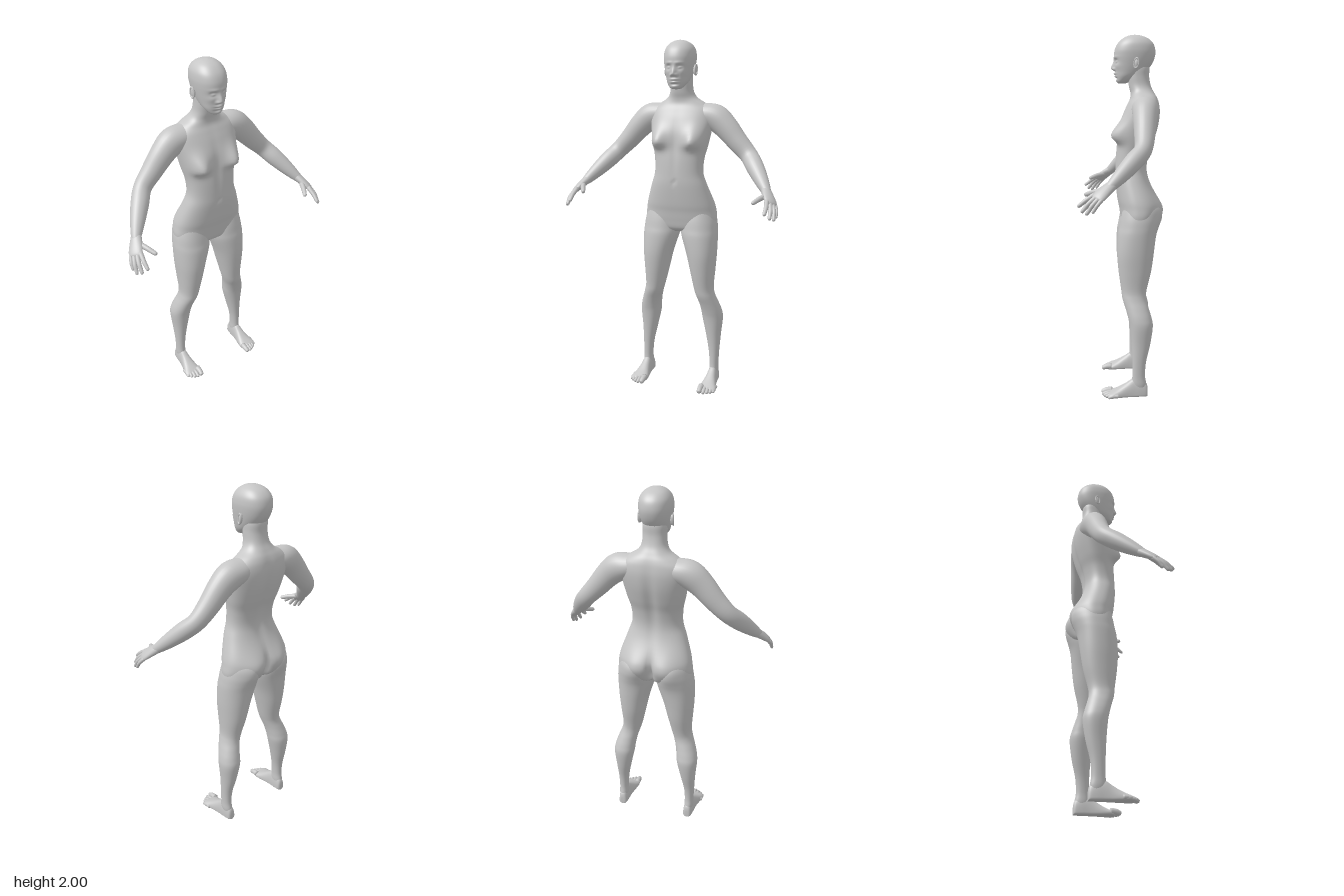
import * as THREE from 'three';

const clay = new THREE.MeshStandardMaterial({ color: 0xc6c6c6 });
clay.name = 'clay grey';

const gauss = (x, y, cx, cy, sx, sy) => Math.exp(-(((x - cx) / sx) ** 2) - ((y - cy) / sy) ** 2);

// Catmull-Rom interpolation of every column of a section table
function refine(rows, steps) {
  const out = [];
  const at = i => rows[Math.max(0, Math.min(rows.length - 1, i))];
  for (let i = 0; i < rows.length - 1; i++) {
    for (let k = 0; k < steps; k++) {
      const t = k / steps;
      out.push(rows[i].map((b, c) => {
        const a = at(i - 1)[c], d = at(i + 1)[c], e = at(i + 2)[c];
        return b + 0.5 * t * (d - a + t * (2 * a - 5 * b + 4 * d - e + t * (3 * (b - d) + e - a)));
      }));
    }
  }
  out.push(rows[rows.length - 1]);
  return out;
}

// Skin over closed rings, with a centre point closing each end
function loft(rings) {
  const n = rings[0].length, pos = [], index = [];
  rings.forEach(r => r.forEach(p => pos.push(p.x, p.y, p.z)));
  for (let i = 0; i < rings.length - 1; i++) {
    for (let j = 0; j < n; j++) {
      const a = i * n + j, b = i * n + (j + 1) % n;
      index.push(a, a + n, b, b, a + n, b + n);
    }
  }
  [0, rings.length - 1].forEach((r, end) => {
    const c = new THREE.Vector3();
    rings[r].forEach(p => c.addScaledVector(p, 1 / n));
    const ci = pos.length / 3;
    pos.push(c.x, c.y, c.z);
    for (let j = 0; j < n; j++) {
      const a = r * n + j, b = r * n + (j + 1) % n;
      if (end) index.push(ci, b, a); else index.push(ci, a, b);
    }
  });
  const g = new THREE.BufferGeometry();
  g.setAttribute('position', new THREE.Float32BufferAttribute(pos, 3));
  g.setIndex(index);
  g.computeVertexNormals();
  return g;
}

// Level sections: [y, xMin, xMax, zFront, zBack], reshaped by a rule
function levelLoft(rows, { steps = 5, seg = 48, p = 2.3, rule }) {
  const pw = v => Math.sign(v) * Math.abs(v) ** (2 / p);
  return loft(refine(rows, steps).map(([y, x0, x1, zf, zb]) =>
    Array.from({ length: seg }, (_, j) => {
      const a = j / seg * Math.PI * 2;
      const v = new THREE.Vector3((x0 + x1) / 2 + (x1 - x0) / 2 * pw(Math.cos(a)), y,
        (zf + zb) / 2 + (zf - zb) / 2 * pw(Math.sin(a)));
      v.z += rule(v.x, y, Math.sin(a));
      return v;
    })));
}

// Limb along a path: [x, y, z, radiusU, radiusV], U being the wide direction
function limbLoft(rows, U, steps = 4, seg = 20) {
  const s = refine(rows, steps), P = s.map(r => new THREE.Vector3(r[0], r[1], r[2]));
  return loft(s.map((r, i) => {
    const T = P[Math.min(i + 1, P.length - 1)].clone().sub(P[Math.max(i - 1, 0)]).normalize();
    const u = U.clone().addScaledVector(T, -U.dot(T)).normalize();
    const v = u.clone().cross(T);
    return Array.from({ length: seg }, (_, j) => {
      const a = j / seg * Math.PI * 2;
      return P[i].clone().addScaledVector(u, r[3] * Math.cos(a)).addScaledVector(v, r[4] * Math.sin(a));
    });
  }));
}

// Finger or toe through three points, with a rounded tip
function digit(a, b, c, r, U) {
  const mix = t => b.map((v, i) => v + (c[i] - v) * t);
  const row = (p, k) => [...p, r * k, r * k];
  return limbLoft([row(a, 1.1), row(b, 1), row(mix(0.5), 0.92), row(mix(0.85), 0.8), row(mix(0.96), 0.5), row(c, 0.12)], U, 3, 12);
}

function mirrored(geo) {
  const g = geo.clone().scale(-1, 1, 1), ix = g.index.array;
  for (let i = 0; i < ix.length; i += 3) [ix[i], ix[i + 1]] = [ix[i + 1], ix[i]];
  g.computeVertexNormals();
  return g;
}

// Buttock fullness, shared by torso and legs so they blend
const seat = (x, y, s) => s < 0 ? s * 0.03 * gauss(Math.abs(x), y, 0.092, 1.025, 0.075, 0.08) : 0;

function torsoRule(x, y, s) {
  const ax = Math.abs(x);
  let d = seat(x, y, s);
  if (s > 0) {
    d += Math.min(1, s * 1.8) * 0.055 * gauss(ax, y, 0.106, 1.445, 0.052, y > 1.445 ? 0.07 : 0.034);
    d -= 0.007 * gauss(x, y, 0, 1.225, 0.01, 0.012);
    d -= 0.005 * gauss(x, y, 0, 1.42, 0.02, 0.16);
  } else {
    d += -s * 0.04 * gauss(x, y, 0, 1.0, 0.016, 0.08);
    d += -s * 0.014 * gauss(x, y, 0, 1.4, 0.03, 0.2);
  }
  return d;
}

function faceRule(x, y, s) {
  if (s <= 0) return 0;
  const ax = Math.abs(x);
  return s * (0.022 * gauss(x, y, 0, 1.816, 0.013, y > 1.816 ? 0.033 : 0.009)
    + 0.009 * gauss(ax, y, 0.015, 1.812, 0.008, 0.008)
    - 0.012 * gauss(ax, y, 0.033, 1.854, 0.017, 0.013)
    + 0.01 * gauss(ax, y, 0.033, 1.852, 0.011, 0.006)
    + 0.004 * gauss(ax, y, 0.03, 1.876, 0.024, 0.008)
    + 0.004 * gauss(ax, y, 0.048, 1.825, 0.018, 0.016)
    + 0.011 * gauss(x, y, 0, 1.789, 0.022, 0.006)
    + 0.010 * gauss(x, y, 0, 1.774, 0.02, 0.006)
    - 0.004 * gauss(x, y, 0, 1.762, 0.022, 0.005)
    + 0.005 * gauss(x, y, 0, 1.75, 0.02, 0.01));
}

export function createModel() {
  const model = new THREE.Group();
  model.name = 'figure';
  const add = (name, geo) => {
    const m = new THREE.Mesh(geo, clay);
    m.name = name;
    model.add(m);
  };
  const pair = (name, geo) => {
    add('left' + name, geo);
    add('right' + name, mirrored(geo));
  };
  const sym = rows => rows.map(([y, h, f, b]) => [y, -h, h, f, b]);

  // Torso and neck
  add('torso', levelLoft(sym([
    [0.928, 0.14, -0.035, -0.12], [0.95, 0.198, -0.004, -0.172], [1.0, 0.213, 0.008, -0.197],
    [1.05, 0.208, 0.016, -0.208], [1.1, 0.197, 0.026, -0.198], [1.2, 0.163, 0.037, -0.155],
    [1.27, 0.141, 0.037, -0.142], [1.35, 0.143, 0.033, -0.155], [1.42, 0.158, 0.025, -0.18],
    [1.5, 0.173, 0.015, -0.203], [1.57, 0.185, -0.008, -0.212], [1.62, 0.178, -0.03, -0.208],
    [1.655, 0.135, -0.046, -0.198], [1.685, 0.087, -0.048, -0.182], [1.72, 0.066, -0.04, -0.164],
    [1.77, 0.062, -0.034, -0.153], [1.82, 0.062, -0.036, -0.153], [1.87, 0.05, -0.04, -0.14]
  ]), { seg: 96, rule: torsoRule }));

  // Head with modelled face
  add('head', levelLoft(sym([
    [1.736, 0.018, 0.016, -0.02], [1.745, 0.036, 0.025, -0.04], [1.77, 0.055, 0.031, -0.085],
    [1.8, 0.066, 0.036, -0.132], [1.84, 0.076, 0.04, -0.166], [1.88, 0.083, 0.043, -0.183],
    [1.915, 0.085, 0.04, -0.186], [1.95, 0.079, 0.025, -0.176], [1.978, 0.06, -0.003, -0.149],
    [1.994, 0.033, -0.035, -0.112], [2.0, 0.004, -0.066, -0.076]
  ]), { seg: 128, steps: 9, p: 2.25, rule: faceRule }));

  // Ears: a shell and its rim
  const placeEar = g => g.rotateY(-0.25).rotateX(-0.15).translate(0.083, 1.84, -0.078);
  pair('Ear', placeEar(new THREE.SphereGeometry(1, 16, 12).scale(0.009, 0.028, 0.015)));
  pair('EarRim', placeEar(new THREE.TorusGeometry(0.018, 0.004, 8, 24).scale(0.75, 1.45, 1).rotateY(Math.PI / 2).translate(0.006, 0, 0)));

  // Arms, shoulder to wrist
  pair('Arm', limbLoft([
    [0.07, 1.603, -0.125, 0.06, 0.055], [0.13, 1.595, -0.123, 0.072, 0.064], [0.195, 1.577, -0.12, 0.07, 0.075],
    [0.255, 1.528, -0.115, 0.062, 0.068], [0.325, 1.45, -0.11, 0.054, 0.058], [0.392, 1.38, -0.097, 0.046, 0.05],
    [0.44, 1.325, -0.047, 0.047, 0.049], [0.488, 1.267, 0.01, 0.039, 0.04], [0.526, 1.22, 0.058, 0.028, 0.028],
    [0.545, 1.197, 0.084, 0.02, 0.018]
  ], new THREE.Vector3(0, 0, 1), 5, 28));

  // Hands: palm, four fingers and thumb
  const across = new THREE.Vector3(0.6, -0.26, -0.77);
  pair('Palm', limbLoft([
    [0.505, 1.246, 0.032, 0.018, 0.016], [0.527, 1.218, 0.06, 0.028, 0.023], [0.553, 1.187, 0.1, 0.037, 0.02],
    [0.568, 1.168, 0.122, 0.039, 0.017], [0.575, 1.157, 0.135, 0.036, 0.013], [0.578, 1.152, 0.14, 0.025, 0.006]
  ], across));
  [
    ['IndexFinger', [0.552, 1.176, 0.143], [0.558, 1.148, 0.186], [0.557, 1.115, 0.228], 0.0115],
    ['MiddleFinger', [0.565, 1.168, 0.132], [0.579, 1.135, 0.172], [0.582, 1.09, 0.21], 0.0115],
    ['RingFinger', [0.577, 1.162, 0.12], [0.594, 1.127, 0.155], [0.6, 1.08, 0.187], 0.011],
    ['LittleFinger', [0.588, 1.156, 0.107], [0.602, 1.127, 0.132], [0.606, 1.09, 0.156], 0.0095],
    ['Thumb', [0.537, 1.195, 0.095], [0.513, 1.184, 0.146], [0.486, 1.166, 0.196], 0.0135]
  ].forEach(([name, a, b, c, r]) => pair(name, digit(a, b, c, r, across)));

  // Legs, hip to ankle
  pair('Leg', levelLoft([
    [0.03, 0.19, 0.23, -0.07, -0.127], [0.07, 0.185, 0.238, -0.052, -0.132], [0.12, 0.186, 0.238, -0.054, -0.125],
    [0.2, 0.179, 0.241, -0.054, -0.131], [0.3, 0.159, 0.247, -0.049, -0.154], [0.4, 0.137, 0.256, -0.04, -0.168],
    [0.45, 0.131, 0.25, -0.03, -0.16], [0.5, 0.122, 0.234, -0.016, -0.145], [0.55, 0.107, 0.216, 0, -0.132],
    [0.6, 0.093, 0.207, 0.007, -0.136], [0.7, 0.07, 0.213, 0.021, -0.16], [0.8, 0.046, 0.22, 0.029, -0.175],
    [0.9, 0.014, 0.222, 0.025, -0.187], [0.95, 0.006, 0.219, 0.016, -0.194], [1.0, 0.01, 0.212, 0.007, -0.196],
    [1.06, 0.03, 0.193, -0.008, -0.185], [1.14, 0.06, 0.15, -0.03, -0.13]
  ], { p: 2.15, rule: seat }));

  // Feet: sections run from heel to toes, arched over a flat sole
  pair('Foot', loft(refine([
    [-0.14, 0.198, 0.222, 0.045], [-0.132, 0.186, 0.233, 0.075], [-0.1, 0.182, 0.239, 0.1], [-0.06, 0.181, 0.242, 0.102],
    [-0.025, 0.177, 0.247, 0.08], [0.02, 0.169, 0.258, 0.053], [0.055, 0.165, 0.267, 0.036], [0.075, 0.17, 0.262, 0.027],
    [0.082, 0.18, 0.25, 0.02]
  ], 4).map(([z, x0, x1, h]) => Array.from({ length: 32 }, (_, j) => {
    const a = -j / 32 * Math.PI * 2, s = Math.sin(a), c = Math.cos(a);
    const base = Math.min(0.016, h / 2);
    return new THREE.Vector3((x0 + x1) / 2 + (x1 - x0) / 2 * Math.sign(c) * Math.abs(c) ** 0.8,
      s > 0 ? base + (h - base) * s : base - base * Math.abs(s) ** 0.6, z);
  }))));
  const up = new THREE.Vector3(0, 1, 0);
  [[0.18, 0.118, 0.016], [0.204, 0.116, 0.0115], [0.223, 0.108, 0.011], [0.24, 0.097, 0.0105], [0.256, 0.082, 0.01]]
    .forEach(([x, z, r], i) => pair('Toe' + (i + 1),
      digit([x, r + 0.008, z - 0.06], [x, r + 0.007, z - 0.03], [x + 0.002, r * 0.8, z], r, up)));

  return model;
}
